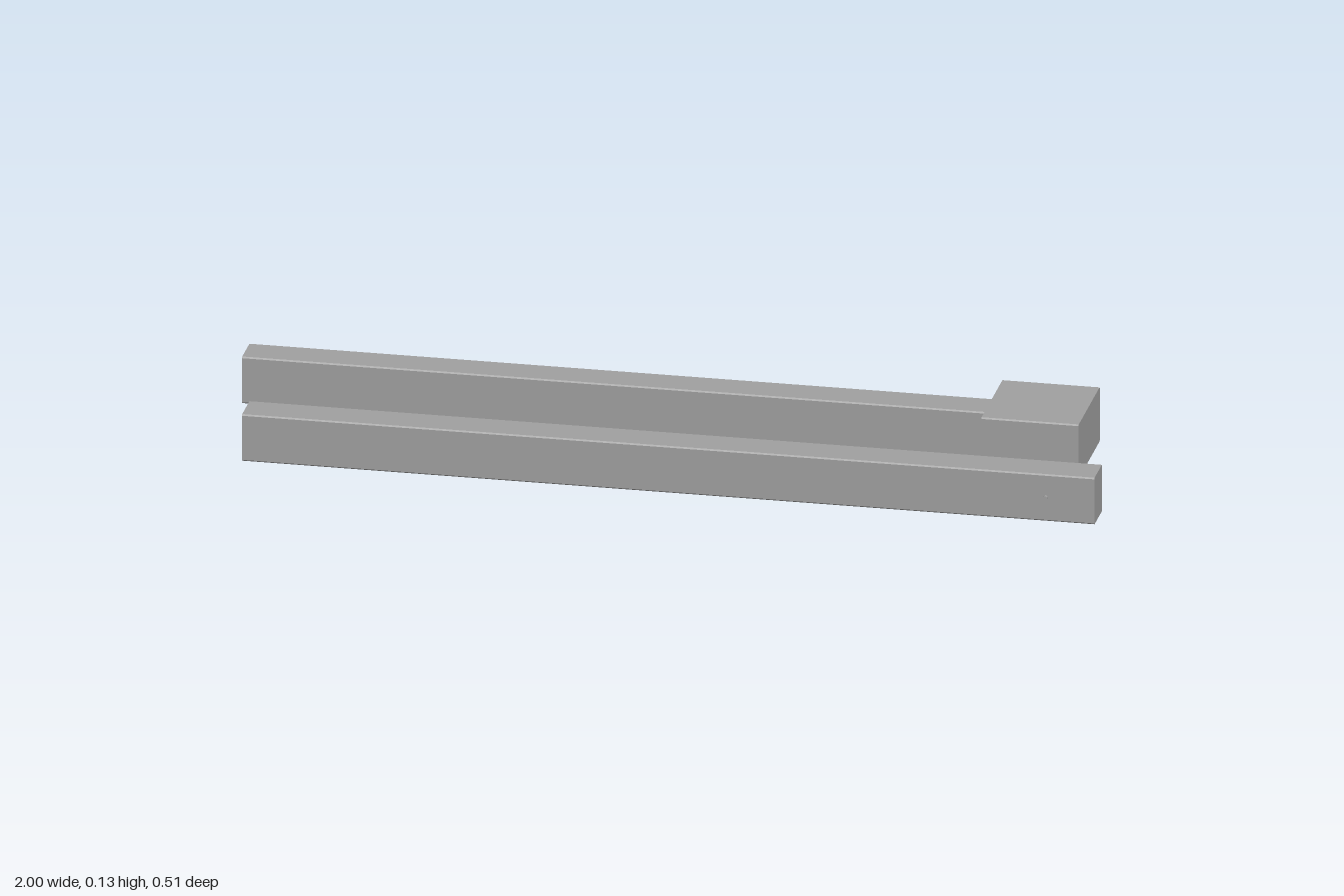
import * as THREE from 'three';

// Chamfered rectangle centred on the origin (u across, v up)
function outline(PathType, w, h, c) {
  const a = w / 2, b = h / 2;
  const pts = [
    [-a + c, -b], [a - c, -b], [a, -b + c], [a, b - c],
    [a - c, b], [-a + c, b], [-a, b - c], [-a, -b + c],
  ];
  return new PathType(pts.map(([u, v]) => new THREE.Vector2(u, v)));
}

// Profile extruded along x from x0 to x1, standing on y = 0; wall > 0 makes it a hollow tube
function beam(name, material, x0, x1, z0, z1, height, wall = 0) {
  const width = z1 - z0, chamfer = 0.003;
  const shape = outline(THREE.Shape, width, height, chamfer);
  if (wall > 0) {
    shape.holes.push(outline(THREE.Path, width - 2 * wall, height - 2 * wall, chamfer));
  }
  const geometry = new THREE.ExtrudeGeometry(shape, { depth: x1 - x0, bevelEnabled: false });
  geometry.rotateY(Math.PI / 2);
  geometry.translate(x0, height / 2, (z0 + z1) / 2);
  const mesh = new THREE.Mesh(geometry, material);
  mesh.name = name;
  return mesh;
}

export function createModel() {
  const model = new THREE.Group();
  model.name = 'barPair';

  const grey = new THREE.MeshStandardMaterial({ color: 0xa0a0a0 });
  grey.name = 'grey metal';

  // Rear bar: hollow tube, open at its right end, running into the block
  model.add(beam('rearTube', grey, -1, 0.695, -0.181, -0.096, 0.111, 0.006));
  model.add(beam('headBlock', grey, 0.69, 0.91, -0.254, -0.018, 0.129));

  // Front bar with its end cap
  model.add(beam('frontBar', grey, -0.93, 0.89, 0.161, 0.247, 0.111));
  model.add(beam('frontBarCap', grey, 0.89, 1, 0.161, 0.247, 0.111));

  // Small pin at the cap joint
  const pin = new THREE.Mesh(new THREE.CylinderGeometry(0.005, 0.005, 0.014, 12), grey);
  pin.name = 'pin';
  pin.rotation.x = Math.PI / 2;
  pin.position.set(0.89, 0.057, 0.248);
  model.add(pin);

  return model;
}
